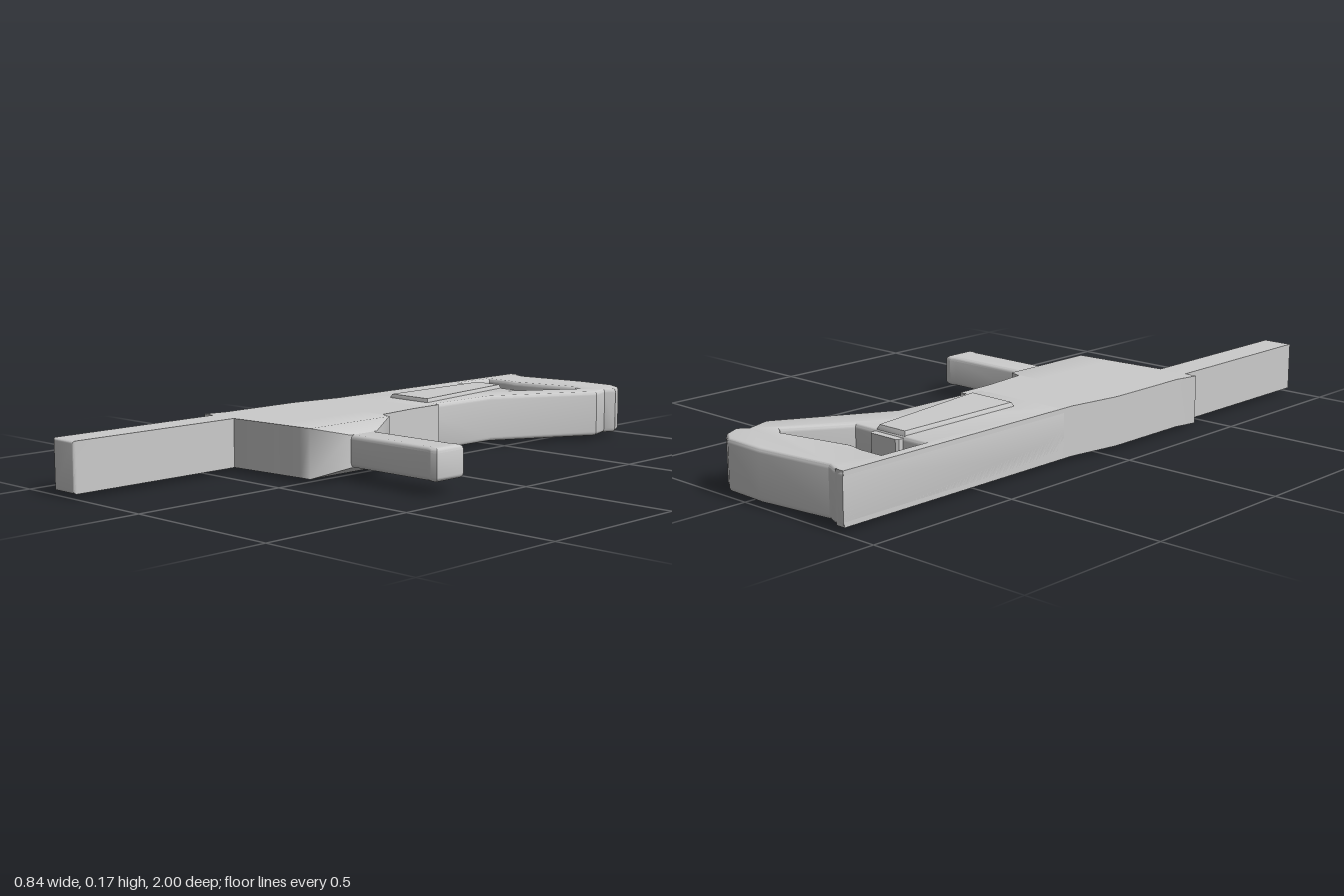
import * as THREE from 'three';
import { toCreasedNormals } from 'three/addons/utils/BufferGeometryUtils.js';
import { ConvexGeometry } from 'three/addons/geometries/ConvexGeometry.js';

const LOW = 0.014, HIGH = 0.163; // bottom and top of the main slab

export function createModel() {
  const group = new THREE.Group();
  const material = new THREE.MeshStandardMaterial({ color: 0xcccccc });

  function add(name, geometry) {
    const mesh = new THREE.Mesh(geometry, material);
    mesh.name = name;
    group.add(mesh);
  }

  // Plan points are [x, z]
  const toVectors = (points) => points.map(([x, z]) => new THREE.Vector2(x, -z));

  // Plan outline raised from y0 to y1, with optional edge rounding.
  // Outlines run clockwise seen from above, holes counter-clockwise.
  function slab(outline, y0, y1, { hole, size = 0, thickness = size, segments = 4 } = {}) {
    const shape = new THREE.Shape(toVectors(outline));
    if (hole) shape.holes.push(new THREE.Path(toVectors(hole)));
    const geometry = new THREE.ExtrudeGeometry(shape, {
      depth: y1 - y0 - 2 * thickness,
      bevelEnabled: size > 0,
      bevelSize: size,
      bevelOffset: -size,
      bevelThickness: thickness,
      bevelSegments: segments,
    });
    geometry.rotateX(-Math.PI / 2).translate(0, y0 + thickness, 0);
    return toCreasedNormals(geometry, 0.5);
  }

  function box(x0, x1, y0, y1, z0, z1) {
    return new THREE.BoxGeometry(x1 - x0, y1 - y0, z1 - z0)
      .translate((x0 + x1) / 2, (y0 + y1) / 2, (z0 + z1) / 2);
  }

  // Main body
  add('receiver', slab([
    [-0.38, -0.22], [-0.037, -0.22], [-0.035, -0.1], [-0.018, 0.055], [-0.1, 0.06],
    [-0.1, 0.406], [-0.285, 0.42], [-0.42, 0.42], [-0.405, 0.345], [-0.405, 0.055], [-0.38, -0.115],
  ], LOW, HIGH));

  // Side of the body that narrows smoothly into the magazine: x, y range, z range
  const sections = [
    [-0.1, LOW, HIGH, 0.055, 0.406],
    [-0.018, LOW, HIGH, 0.055, 0.4],
    [0.022, LOW, HIGH, 0.068, 0.397],
    [0.077, 0.04, 0.137, 0.178, 0.287],
  ];
  const collar = new ConvexGeometry(sections.flatMap(([x, y0, y1, z0, z1]) =>
    [[y0, z0], [y0, z1], [y1, z0], [y1, z1]].map(([y, z]) => new THREE.Vector3(x, y, z))));
  add('magazineCollar', toCreasedNormals(collar, 1.12));

  // Skeleton stock with softened edges and a thumb opening
  add('stock', slab([
    [-0.38, -0.99], [-0.34, -0.985], [-0.305, -0.97], [-0.065, -1], [0.07, -0.995],
    [0.115, -0.965], [0.14, -0.915], [0.117, -0.885], [0.14, -0.81],
    [-0.045, -0.48], [-0.055, -0.15], [-0.38, -0.15],
  ], LOW, HIGH, {
    size: 0.01,
    thickness: 0.014,
    hole: [
      [-0.34, -0.665], [-0.07, -0.665], [0.045, -0.835], [0.013, -0.857],
      [-0.215, -0.81], [-0.27, -0.82], [-0.34, -0.82],
    ],
  }));

  // Square-edged rail along the stock's flat side
  add('stockRail', box(-0.38, -0.35, LOW, HIGH, -0.987, -0.15));

  // Lug in the corner of the opening
  add('stockLug', box(-0.345, -0.285, 0.04, 0.137, -0.83, -0.77));

  // Tapered panels standing proud of both faces, and their rear stop
  add('gripPanels', slab([
    [-0.26, -0.66], [-0.152, -0.66], [-0.091, -0.225], [-0.26, -0.23],
  ], 0.001, 0.175, { size: 0.005, thickness: 0.012, segments: 1 }));
  add('gripStop', slab([
    [-0.258, -0.64], [-0.258, -0.68], [-0.25, -0.686], [-0.155, -0.686], [-0.148, -0.68], [-0.148, -0.64],
  ], 0.02, 0.157));

  // Magazine with a slightly flared end
  add('magazine', slab([
    [0.04, 0.18], [0.375, 0.18], [0.395, 0.174], [0.417, 0.178],
    [0.417, 0.288], [0.395, 0.292], [0.375, 0.285], [0.04, 0.285],
  ], 0.04, 0.137, { size: 0.014 }));

  // Square barrel, softened only around its tip
  const tip = 0.008, x0 = -0.38, x1 = -0.284;
  const section = new THREE.Shape(
    [[x0, LOW], [x1, LOW], [x1, HIGH], [x0, HIGH]].map(([x, y]) => new THREE.Vector2(x, y)));
  const barrel = new THREE.ExtrudeGeometry(section, {
    depth: 0.6 - 2 * tip, bevelSize: tip, bevelOffset: -tip, bevelThickness: tip, bevelSegments: 4,
  }).translate(0, 0, 0.4 + tip);
  add('barrel', toCreasedNormals(barrel, 0.5));

  return group;
}
